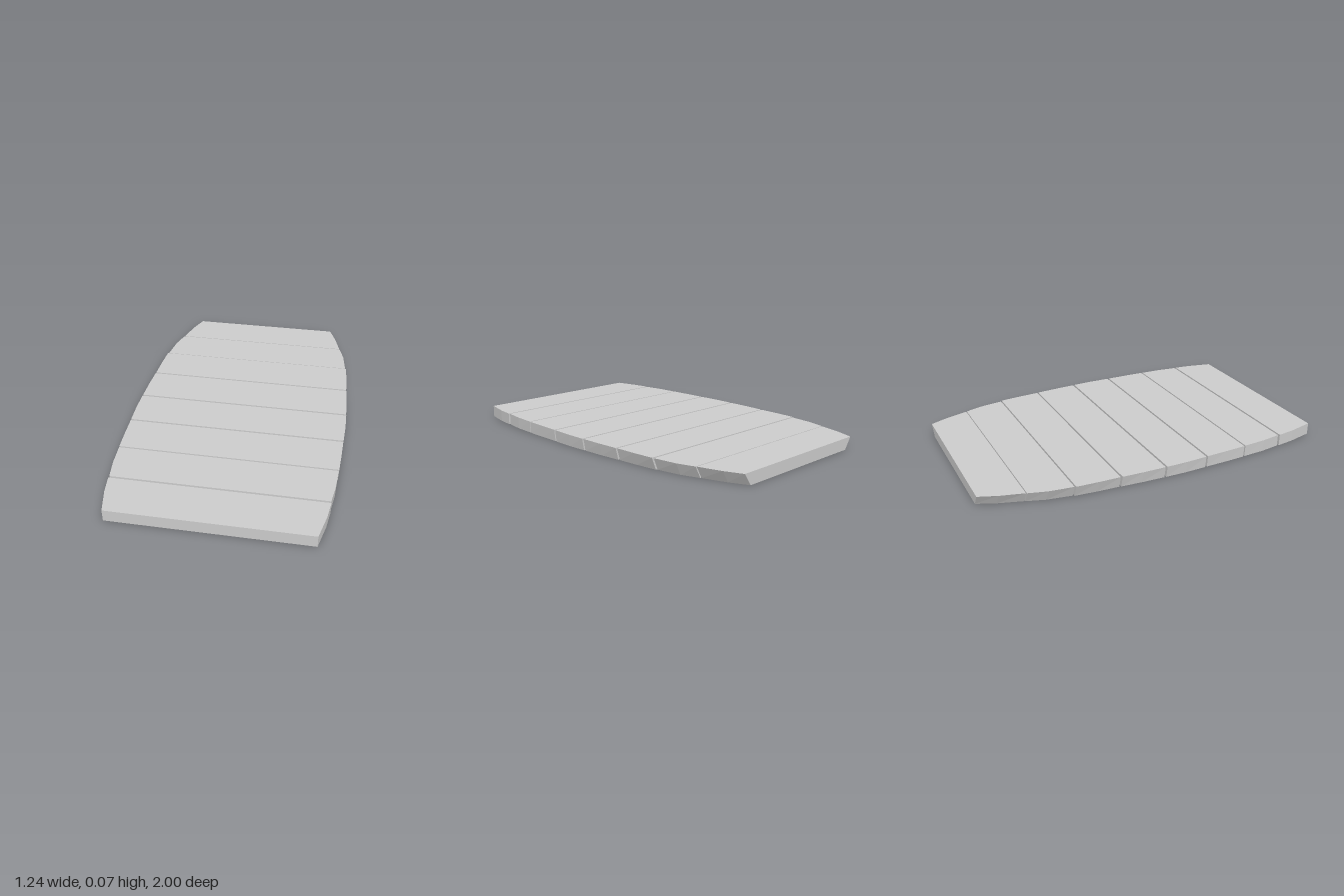
import * as THREE from 'three';

const HEIGHT = 0.068;

// Each plank: z at its back, middle and front, with the half width of the top there.
const PLANKS = [
  { z: [-1, -0.9, -0.77], w: [0.455, 0.495, 0.532], h: 0.066 },
  { z: [-0.765, -0.665, -0.53], w: [0.535, 0.565, 0.584], h: 0.066 },
  { z: [-0.523, -0.4, -0.279], w: [0.59, 0.599, 0.604] },
  { z: [-0.269, -0.15, -0.02], w: [0.606, 0.613, 0.617] },
  { z: [-0.009, 0.11, 0.235], w: [0.618, 0.62, 0.616] },
  { z: [0.246, 0.37, 0.491], w: [0.615, 0.612, 0.607] },
  { z: [0.5, 0.63, 0.743], w: [0.605, 0.598, 0.582] },
  { z: [0.755, 0.86, 1], w: [0.584, 0.57, 0.538] },
];

// The sides lean inwards at the bottom, more so towards the back.
const inset = (z) => 0.045 * ((1 - z) / 2) ** 2;

// A hollow plank: flat top and thin walls all round, open underneath.
function plankGeometry({ z, w, h = HEIGHT }) {
  const positions = [];
  const quad = (a, b, c, d) => positions.push(...a, ...b, ...c, ...a, ...c, ...d);
  const top = (i, s) => [s * w[i], h, z[i]];
  const foot = (i, s) => [s * (w[i] - inset(z[i])), 0, z[i]];

  for (let i = 0; i < z.length - 1; i++) {
    quad(top(i, -1), top(i + 1, -1), top(i + 1, 1), top(i, 1));
    quad(foot(i + 1, 1), foot(i, 1), top(i, 1), top(i + 1, 1));
    quad(foot(i, -1), foot(i + 1, -1), top(i + 1, -1), top(i, -1));
  }
  const last = z.length - 1;
  quad(foot(last, -1), foot(last, 1), top(last, 1), top(last, -1));
  quad(foot(0, 1), foot(0, -1), top(0, -1), top(0, 1));

  const geometry = new THREE.BufferGeometry();
  geometry.setAttribute('position', new THREE.Float32BufferAttribute(positions, 3));
  geometry.computeVertexNormals();
  return geometry;
}

export function createModel() {
  const group = new THREE.Group();
  group.name = 'plankDeck';
  const material = new THREE.MeshStandardMaterial({
    color: 0xcccccc,
    flatShading: true,
    side: THREE.DoubleSide,
  });
  PLANKS.forEach((plank, i) => {
    const mesh = new THREE.Mesh(plankGeometry(plank), material);
    mesh.name = `plank${i + 1}`;
    group.add(mesh);
  });
  return group;
}
